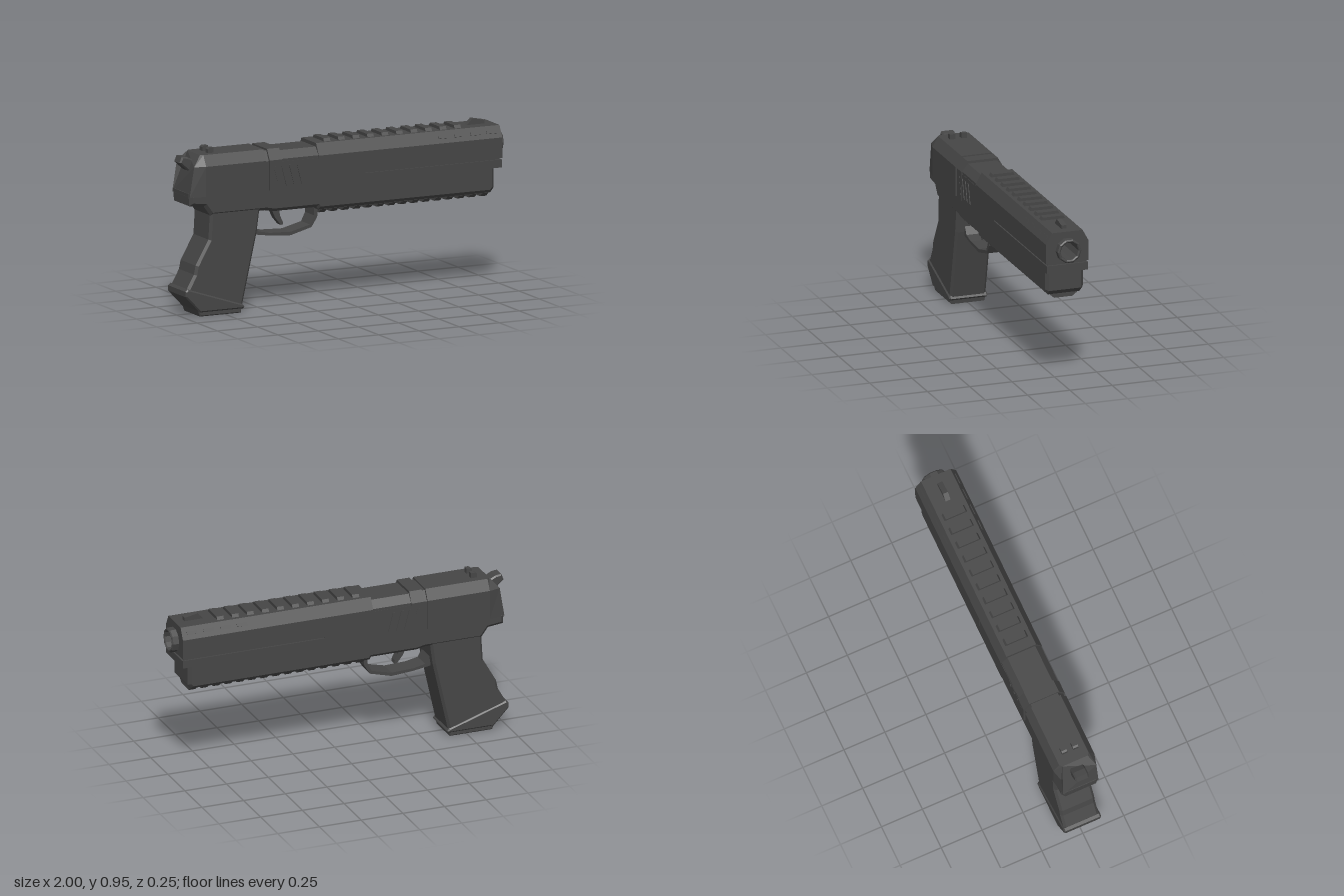
import * as THREE from 'three';

export function createModel() {
  const root = new THREE.Group();
  root.name = 'pistolProp';
  const gunmetal = new THREE.MeshStandardMaterial({ color: 0x464646 });
  gunmetal.name = 'gunmetal';

  const add = (name, geo, x = 0, y = 0, z = 0) => {
    const m = new THREE.Mesh(geo, gunmetal);
    m.name = name;
    m.position.set(x, y, z);
    root.add(m);
    return m;
  };
  // side outline in x,y, given a thickness across z and chamfered edges
  const profile = (name, pts, half, bevel = 0, z = 0) => {
    const shape = new THREE.Shape(pts.map(p => new THREE.Vector2(...p)));
    const geo = new THREE.ExtrudeGeometry(shape, {
      depth: 2 * (half - bevel), bevelEnabled: bevel > 0, bevelThickness: bevel,
      bevelSize: bevel, bevelOffset: -bevel, bevelSegments: 1,
    });
    geo.translate(0, 0, bevel - half);
    return add(name, geo, 0, 0, z);
  };
  // mirrored cross-section in z,y run along x
  const section = (name, x0, x1, half, hole = 0) => {
    const pts = [...half, ...half.map(([z, y]) => [-z, y]).reverse()];
    const shape = new THREE.Shape(pts.map(p => new THREE.Vector2(...p)));
    if (hole) shape.holes.push(new THREE.Path().absarc(0, 0.81, hole, 0, Math.PI * 2, true));
    const geo = new THREE.ExtrudeGeometry(shape, { depth: x1 - x0, bevelEnabled: false, curveSegments: 5 });
    geo.rotateY(Math.PI / 2);
    geo.translate(x0, 0, 0);
    return add(name, geo);
  };

  // slide, rear half
  const rear = [[0.125, 0.68], [0.125, 0.85], [0.09, 0.91]];
  section('slideRear', -0.88, -0.507, rear);
  const end = section('slideBackPlate', -0.9, -0.88, rear);
  const pos = end.geometry.attributes.position;
  for (let i = 0; i < pos.count; i++) {
    if (pos.getX(i) > -0.89) continue;
    const y = pos.getY(i);
    pos.setX(i, y > 0.84 ? -0.895 - (0.91 - y) * 0.85 : -0.945 - (0.85 - y) * 0.17);
    pos.setZ(i, pos.getZ(i) * 0.86);
  }
  end.geometry.computeVertexNormals();
  section('slideSeam', -0.52, -0.47, [[0.115, 0.68], [0.115, 0.845], [0.082, 0.9]]);
  section('slideBand', -0.485, -0.41, rear);

  // slide, middle and front
  section('ejectionPort', -0.42, -0.18, [[0.12, 0.83], [0.12, 0.852], [0.085, 0.895]]);
  section('slideMiddle', -0.42, 0.11, [[0.122, 0.72], [0.122, 0.838]]);
  section('slideLower', -0.485, 0.96, [[0.122, 0.68], [0.122, 0.725]]);
  section('slideGroove', 0.1, 0.95, [[0.113, 0.715], [0.113, 0.745]]);
  section('coverRear', -0.18, 0.11, [[0.125, 0.835], [0.125, 0.85], [0.09, 0.915]]);
  section('coverFront', 0.11, 0.96, [[0.125, 0.735], [0.125, 0.85], [0.09, 0.915]], 0.053);

  // barrel end
  const ring = new THREE.Shape().absarc(0, 0, 0.07, 0, Math.PI * 2);
  ring.holes.push(new THREE.Path().absarc(0, 0, 0.053, 0, Math.PI * 2, true));
  const ringGeo = new THREE.ExtrudeGeometry(ring, {
    depth: 0.04, curveSegments: 5, bevelSize: 0.006, bevelThickness: 0.006, bevelOffset: -0.006, bevelSegments: 1,
  });
  ringGeo.rotateY(Math.PI / 2);
  add('muzzleRing', ringGeo, 0.954, 0.81);

  // frame, hammer and grip
  profile('frame', [[-0.975, 0.7], [-0.97, 0.63], [-0.88, 0.62], [-0.84, 0.565], [-0.5, 0.565], [-0.45, 0.555],
    [-0.18, 0.555], [-0.17, 0.54], [0.9, 0.54], [0.92, 0.565], [0.92, 0.7]], 0.112, 0.018);
  profile('hammer', [[-1, 0.865], [-0.985, 0.9], [-0.95, 0.895], [-0.89, 0.865], [-0.89, 0.79], [-0.95, 0.82]], 0.04, 0.008);
  profile('grip', [[-0.84, 0.6], [-0.85, 0.43], [-0.93, 0.29], [-0.94, 0.24], [-0.985, 0.16], [-0.985, 0.12],
    [-0.9, 0.025], [-0.645, 0.025], [-0.55, 0.45], [-0.53, 0.6]], 0.106, 0.014);
  profile('gripFlare', [[-1, 0.15], [-1, 0.12], [-0.91, 0.025], [-0.64, 0.025], [-0.632, 0.035],
    [-0.645, 0.05], [-0.985, 0.163]], 0.113, 0.008);
  profile('gripBase', [[-0.92, 0.04], [-0.905, 0], [-0.65, 0], [-0.645, 0.04]], 0.102, 0.006);

  // trigger and guard
  profile('triggerGuard', [[-0.57, 0.46], [-0.55, 0.425], [-0.45, 0.41], [-0.32, 0.4], [-0.19, 0.435], [-0.155, 0.49],
    [-0.15, 0.57], [-0.172, 0.57], [-0.175, 0.5], [-0.2, 0.45], [-0.32, 0.42], [-0.45, 0.425], [-0.52, 0.44],
    [-0.55, 0.49]], 0.055);
  profile('trigger', [[-0.43, 0.57], [-0.4, 0.5], [-0.365, 0.457], [-0.35, 0.457], [-0.352, 0.475],
    [-0.37, 0.51], [-0.375, 0.57]], 0.022);

  // top ribs and lower rail teeth
  for (let i = 0; i < 10; i++) {
    const x = -0.1 + i * 0.0902;
    section('topRib', x - 0.02, x + 0.02, [[0.072, 0.91], [0.06, 0.932]]);
  }
  for (let i = 0; i < 15; i++) {
    const x = -0.126 + i * 0.0716;
    section('railTooth', x - 0.019, x + 0.019, [[0.055, 0.514], [0.08, 0.535], [0.08, 0.55]]);
  }

  // sights
  profile('frontSight', [[0.79, 0.91], [0.83, 0.95], [0.905, 0.935], [0.905, 0.91]], 0.015);
  for (const s of [1, -1]) {
    profile('rearSight', [[-0.832, 0.9], [-0.832, 0.932], [-0.822, 0.94], [-0.798, 0.94], [-0.798, 0.9]], 0.016, 0, s * 0.034);

    // slanted grip bars on the slide sides
    for (let i = 0; i < 4; i++) {
      const x = -0.44 + i * 0.048;
      profile('slideBar', [[x + 0.01, 0.7], [x + 0.025, 0.7], [x - 0.005, 0.815], [x - 0.02, 0.815]], 0.004, 0, s * 0.122);
    }
    // vents along the upper chamfers
    for (let i = 0; i < 4; i++) {
      add('vent', new THREE.BoxGeometry(0.06, 0.018, 0.008), 0.6 + i * 0.1, 0.882, s * 0.108).rotation.x = -0.49 * s;
    }
  }
  return root;
}
